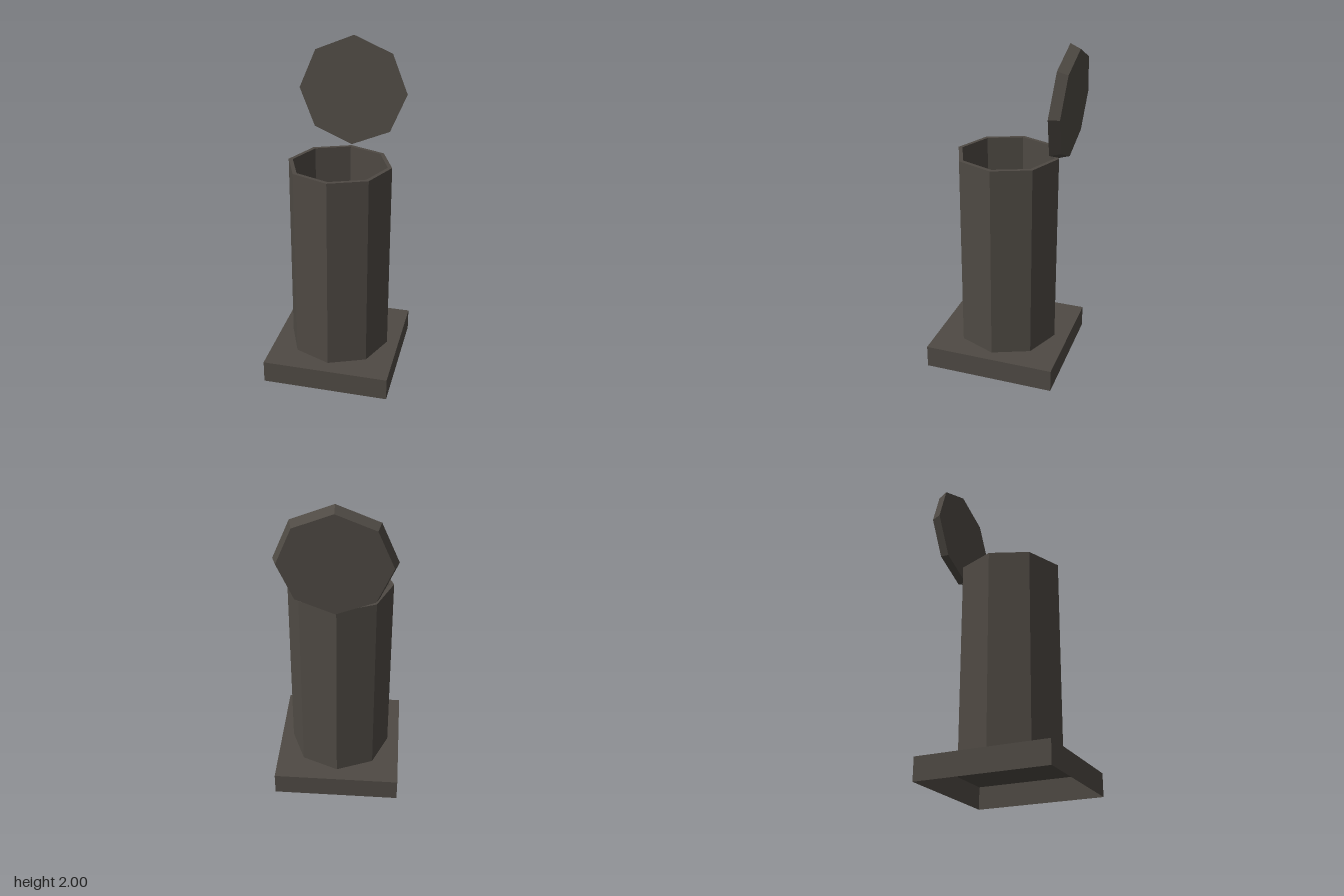
import * as THREE from 'three';

export function createModel() {
  const group = new THREE.Group();
  const metal = new THREE.MeshStandardMaterial({ color: 0x4f4a44, flatShading: true, side: THREE.DoubleSide });
  metal.name = 'dark metal';

  const add = (name, geometry, x, y, z) => {
    const mesh = new THREE.Mesh(geometry, metal);
    mesh.name = name;
    mesh.position.set(x, y, z);
    group.add(mesh);
    return mesh;
  };

  // Square base: a hollow box, open underneath (the -y face is left out)
  const baseHeight = 0.137;
  const box = new THREE.BoxGeometry(0.766, baseHeight, 0.795);
  const index = Array.from(box.index.array);
  index.splice(18, 6);
  box.setIndex(index);
  box.clearGroups();
  add('base', box, 0, baseHeight / 2, 0.009);

  // Eight-sided open tube with a thin wall and a flat rim
  const top = 1.33, outer = 0.31, inner = 0.285;
  const profile = [[outer, baseHeight], [outer, top], [inner, top], [inner, baseHeight]]
    .map(([r, y]) => new THREE.Vector2(r, y));
  add('tube', new THREE.LatheGeometry(profile, 8), 0, 0, 0.009);

  // Eight-sided lid, tapered toward the back and swung open upright
  const lid = add('lid', new THREE.CylinderGeometry(0.333, 0.31, 0.06, 8), 0, 1.666, -0.354);
  lid.rotation.x = 1.503;

  return group;
}
